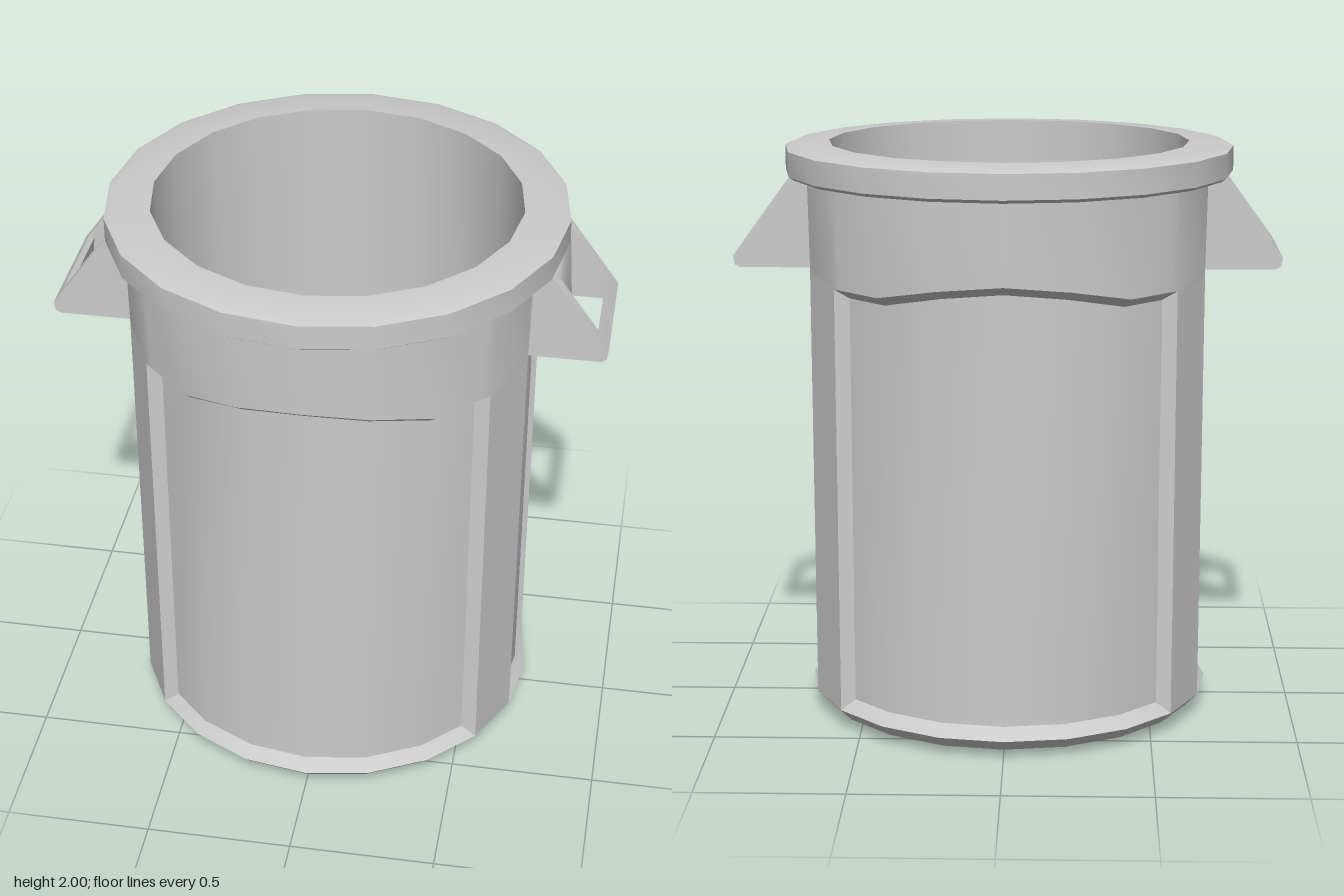
import * as THREE from 'three';
import { toCreasedNormals } from 'three/addons/utils/BufferGeometryUtils.js';

const SIDES = 20;
const STEP = 360 / SIDES;
const material = new THREE.MeshStandardMaterial({ color: 0xcccccc });

function addMesh(parent, name, geometry, crease = 0.5) {
  const mesh = new THREE.Mesh(toCreasedNormals(geometry, crease), material);
  mesh.name = name;
  parent.add(mesh);
  return mesh;
}

function lathe(points) {
  return new THREE.LatheGeometry(points.map(([x, y]) => new THREE.Vector2(x, y)), SIDES);
}

// Prism with its side profile in the xy plane, running from z0 to z1
function prism(profile, z0, z1) {
  const shape = new THREE.Shape(profile.map(([x, y]) => new THREE.Vector2(x, y)));
  const geometry = new THREE.ExtrudeGeometry(shape, { depth: z1 - z0, bevelEnabled: false });
  return geometry.translate(0, 0, z0);
}

// Twenty-sided wall point: the radius follows the straight side between two corners
function wallPoint(degrees, y, radius) {
  const offset = ((degrees % STEP) + STEP) % STEP - STEP / 2;
  const rad = THREE.MathUtils.degToRad;
  const r = radius * Math.cos(rad(STEP / 2)) / Math.cos(rad(offset));
  return [r * Math.sin(rad(degrees)), y, r * Math.cos(rad(degrees))];
}

// Wall with recessed panels: wide ones front and back, narrow ones under the handles
function wallGeometry() {
  const outer = 0.705, inner = 0.667;
  const columns = [];
  for (const base of [0, 180]) {
    for (const t of [-54, -51.5, -36, -18, 0, 18, 36, 51.5, 54]) {
      const a = Math.abs(t);
      const top = a >= 36 ? 1.55 : a === 18 ? 1.59 : 1.61;
      columns.push({ t: base + t, top, recessed: a < 54 });
    }
    for (const t of [72, 73, 90, 107, 108]) {
      columns.push({ t: base + t, top: 1.59, recessed: t > 72 && t < 108 });
    }
  }
  columns.push({ ...columns[0], t: 306 });

  const grid = columns.map(({ t, top, recessed }) => {
    const r = recessed ? inner : outer;
    return [[0.07, outer], [0.11, r], [top - 0.03, r], [top, outer], [1.895, 0.71]]
      .map(([y, radius]) => ({ p: wallPoint(t, y, radius), radius }));
  });

  const positions = [];
  for (let i = 0; i < grid.length - 1; i++) {
    for (let j = 0; j < 4; j++) {
      const a = grid[i][j], b = grid[i + 1][j], c = grid[i + 1][j + 1], d = grid[i][j + 1];
      // Mitre the panel corners
      const order = b.radius !== d.radius ? [a, b, d, b, c, d] : [a, b, c, a, c, d];
      for (const v of order) positions.push(...v.p);
    }
  }
  const geometry = new THREE.BufferGeometry();
  geometry.setAttribute('position', new THREE.Float32BufferAttribute(positions, 3));
  return geometry;
}

// Handle on the +x side: two cheeks, a backing block and a grip bar, open below
function createHandle(name) {
  const handle = new THREE.Group();
  handle.name = name;
  const cheek = [[0.65, 1.59], [0.91, 1.59], [0.928, 1.6], [0.932, 1.63], [0.75, 1.88], [0.73, 1.893], [0.65, 1.893]];
  addMesh(handle, 'handleCheekFront', prism(cheek, 0.175, 0.218));
  addMesh(handle, 'handleCheekBack', prism(cheek, -0.218, -0.175));
  const back = [[0.65, 1.59], [0.78, 1.59], [0.762, 1.86], [0.75, 1.88], [0.73, 1.893], [0.65, 1.893]];
  addMesh(handle, 'handleBacking', prism(back, -0.175, 0.175));
  const grip = [[0.895, 1.59], [0.91, 1.59], [0.928, 1.6], [0.932, 1.63], [0.905, 1.667], [0.89, 1.655]];
  addMesh(handle, 'handleGrip', prism(grip, -0.175, 0.175));
  return handle;
}

export function createModel() {
  const bin = new THREE.Group();
  bin.name = 'bin';

  addMesh(bin, 'wall', wallGeometry());

  // Underside with a chamfered foot
  addMesh(bin, 'base', lathe([[0, 0.02], [0.5, 0.012], [0.57, 0], [0.665, 0.028], [0.705, 0.07]]));

  // Thick rim, then the inner wall down to the floor
  addMesh(bin, 'rimAndLining', lathe([
    [0.7, 1.888], [0.755, 1.888], [0.772, 1.9], [0.772, 1.984], [0.75, 1.992],
    [0.62, 2], [0.62, 0.06], [0, 0.06],
  ]));

  const leftHandle = createHandle('leftHandle');
  const rightHandle = createHandle('rightHandle');
  rightHandle.rotation.y = Math.PI;
  bin.add(leftHandle, rightHandle);
  return bin;
}
